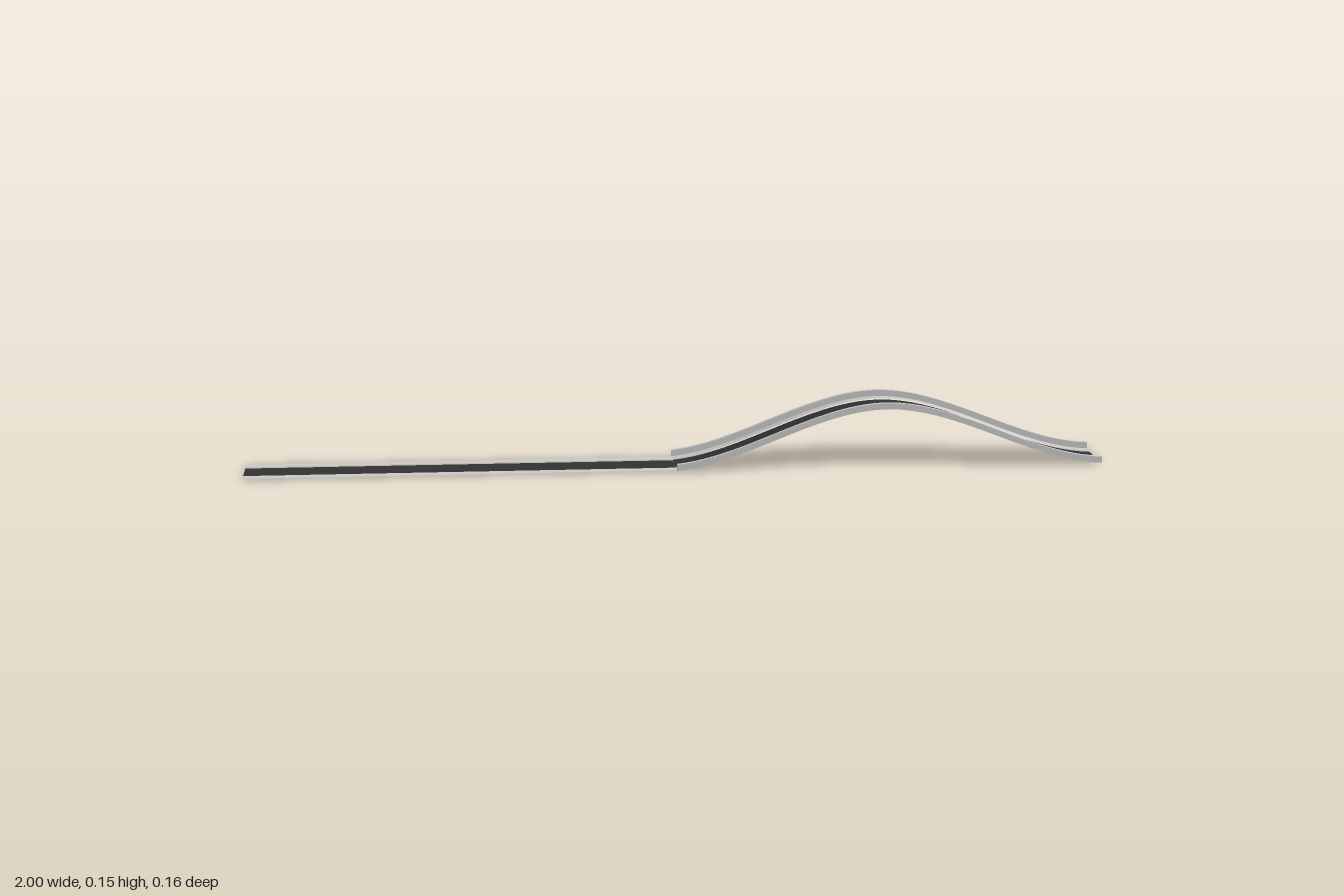
import * as THREE from 'three';
import { toCreasedNormals } from 'three/addons/utils/BufferGeometryUtils.js';

const ROAD = 0.043, EDGE = 0.071, OUTER = 0.082; // half widths across the road
const CURB = 0.0145, LIFT = 0.0025, PEAK = 0.49, STEPS = 48;

const asphalt = new THREE.MeshStandardMaterial({ color: 0x333333, side: THREE.DoubleSide });
const concrete = new THREE.MeshStandardMaterial({ color: 0xcccccc, side: THREE.DoubleSide });

// Height of the hill: two eased halves meeting at a level crest
function hill(x) {
  const up = x < PEAK;
  const length = up ? PEAK : 1 - PEAK;
  const t = up ? x / length : (1 - x) / length;
  const slope = up ? 0.1 : 0.04;
  return 0.001 + 0.137 * t * t * (3 - 2 * t) + slope * length * t * (1 - t) ** 2;
}
const flat = () => 0;

// Thin strip following a height rule between two x and two z positions
function strip(name, material, height, x0, x1, z0, z1, lift, steps) {
  const g = new THREE.PlaneGeometry(x1 - x0, z1 - z0, steps, 1);
  g.rotateX(-Math.PI / 2).translate((x0 + x1) / 2, 0, (z0 + z1) / 2);
  const p = g.attributes.position;
  for (let i = 0; i < p.count; i++) p.setY(i, height(p.getX(i)) + lift);
  g.computeVertexNormals();
  const mesh = new THREE.Mesh(g, material);
  mesh.name = name;
  return mesh;
}

// Solid raised curb along the hill
function curb(name, z0) {
  const lower = [], upper = [];
  for (let i = 0; i <= STEPS; i++) {
    const x = i / STEPS, y = hill(x) + LIFT;
    lower.push(new THREE.Vector2(x, y));
    upper.unshift(new THREE.Vector2(x, y + CURB));
  }
  const g = new THREE.ExtrudeGeometry(new THREE.Shape([...lower, ...upper]), {
    depth: OUTER - EDGE, bevelEnabled: false,
  });
  g.translate(0, 0, z0);
  const mesh = new THREE.Mesh(toCreasedNormals(g, 0.5), concrete);
  mesh.name = name;
  return mesh;
}

// Road surface with a shoulder along both sides
function section(name, height, x0, x1, steps) {
  const group = new THREE.Group();
  group.name = name;
  group.add(
    strip('roadSurface', asphalt, height, x0, x1, -ROAD, ROAD, 0, steps),
    strip('frontShoulder', concrete, height, x0, x1, ROAD, EDGE, LIFT, steps),
    strip('backShoulder', concrete, height, x0, x1, -EDGE, -ROAD, LIFT, steps),
  );
  return group;
}

export function createModel() {
  const model = new THREE.Group();
  model.name = 'road';
  const bridge = section('humpSection', hill, 0, 1, STEPS);
  bridge.add(curb('frontCurb', EDGE), curb('backCurb', -OUTER));
  model.add(section('flatSection', flat, -1, 0, 1), bridge);
  return model;
}
